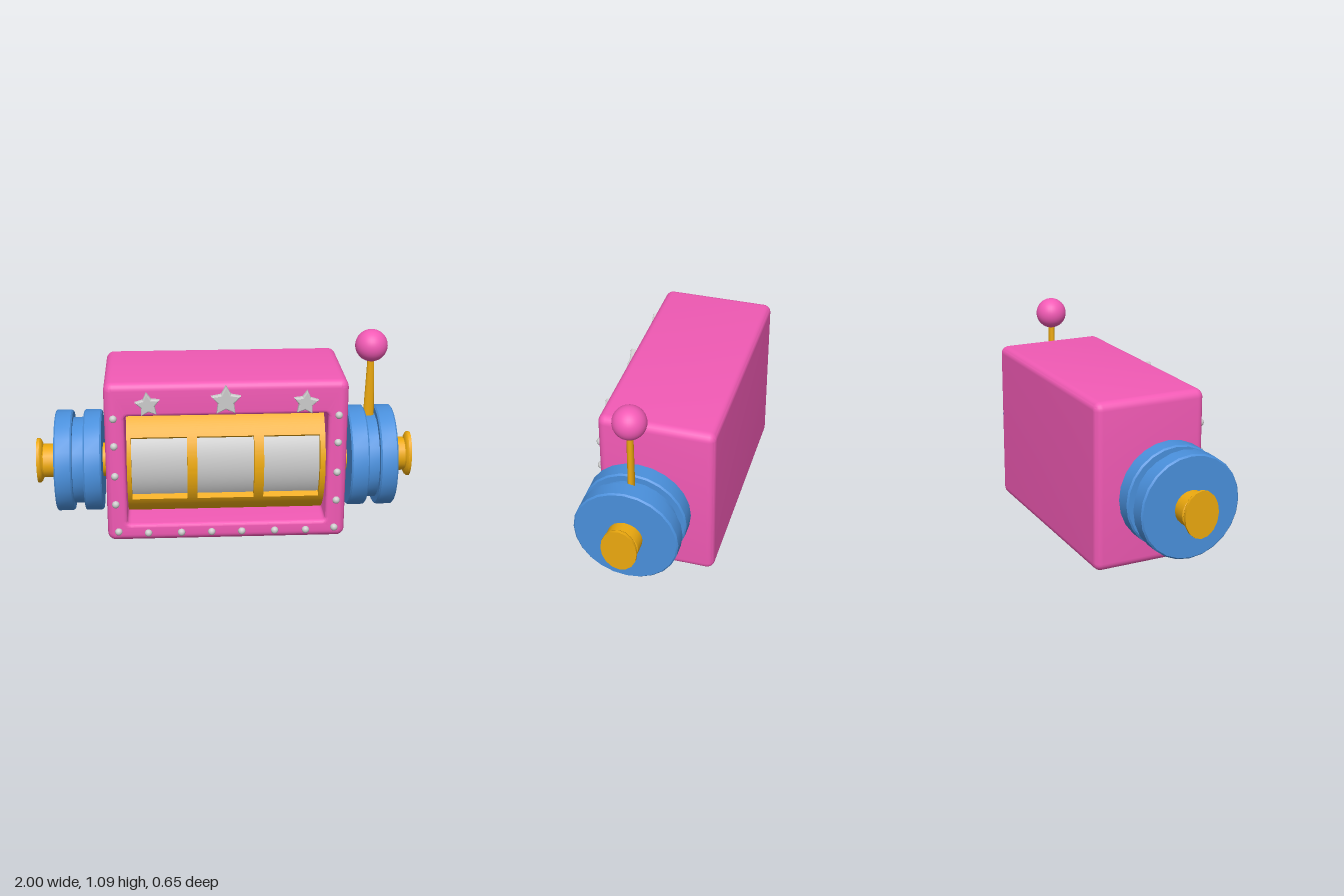
import * as THREE from 'three';
import { toCreasedNormals } from 'three/addons/utils/BufferGeometryUtils.js';

const mat = (color) => new THREE.MeshStandardMaterial({ color });
const pink = mat(0xf25ab5), blue = mat(0x4a90dc), gold = mat(0xeca90f), grey = mat(0xcccccc);

const AXLE_Y = 0.385, AXLE_Z = 0.055;   // side wheels
const DRUM_Y = 0.39, DRUM_Z = -0.08;    // reel drum

function add(parent, name, geometry, material, x = 0, y = 0, z = 0) {
  const mesh = new THREE.Mesh(geometry, material);
  mesh.name = name;
  mesh.position.set(x, y, z);
  parent.add(mesh);
  return mesh;
}

// Rounded-rectangle outline, counter-clockwise seen from the front
function ring(hw, hh, r, cy, z) {
  const pts = [], n = 6;
  const signs = [[1, 1], [-1, 1], [-1, -1], [1, -1]];
  signs.forEach(([sx, sy], q) => {
    for (let i = 0; i <= n; i++) {
      const a = (q + i / n) * Math.PI / 2;
      pts.push([sx * (hw - r) + r * Math.cos(a), cy + sy * (hh - r) + r * Math.sin(a), z]);
    }
  });
  return pts;
}

function loft(rings, crease) {
  const n = rings[0].length, idx = [];
  for (let i = 0; i < rings.length - 1; i++) {
    for (let j = 0; j < n; j++) {
      const a = i * n + j, b = i * n + (j + 1) % n;
      idx.push(a, b, b + n, a, b + n, a + n);
    }
  }
  const g = new THREE.BufferGeometry();
  g.setAttribute('position', new THREE.Float32BufferAttribute(rings.flat(2), 3));
  g.setIndex(idx);
  return toCreasedNormals(g, crease);
}

// Rounded case with a recessed opening in its front
function caseGeometry() {
  const W = 0.63, H = 0.44, Y = 0.44, Z0 = -0.325, Z1 = 0.275, R = 0.04, N = 6;
  const rings = [ring(0.001, 0.001, 0.0005, Y, Z0), ring(W - R - 0.004, H - R - 0.004, 0.004, Y, Z0)];
  const outer = (a, z) => { // a: 0 = flat face, PI/2 = side
    const inset = R * (1 - Math.sin(a));
    rings.push(ring(W - inset, H - inset, R - inset + 0.003, Y, z));
  };
  for (let i = 0; i <= N; i++) {
    const a = i / N * Math.PI / 2;
    outer(a, Z0 + R * (1 - Math.cos(a)));
  }
  for (let i = N; i >= 0; i--) {
    const a = i / N * Math.PI / 2;
    outer(a, Z1 - R * (1 - Math.cos(a)));
  }
  // opening lip
  const w = 0.525, h = 0.303, cy = 0.4, r = 0.02;
  rings.push(ring(w + r + 0.004, h + r + 0.004, 0.044, cy, Z1));
  for (let i = 0; i <= N; i++) {
    const a = i / N * Math.PI / 2, o = r * (1 - Math.sin(a));
    rings.push(ring(w + o, h + o, 0.02 + o, cy, Z1 - r * (1 - Math.cos(a))));
  }
  // recess walls and back
  rings.push(ring(w, h, 0.02, cy, 0.05), ring(0.001, 0.001, 0.0005, cy, 0.05));
  return loft(rings, 0.45);
}

// Curved slab around the drum axis, from angle a0 to a1 and x0 to x1
function sector(a0, a1, rIn, rOut, x0, x1) {
  const s = new THREE.Shape();
  s.absarc(0, 0, rOut, a0, a1, false);
  s.absarc(0, 0, rIn, a1, a0, true);
  const g = new THREE.ExtrudeGeometry(s, { depth: x1 - x0, bevelEnabled: false, curveSegments: 20 });
  g.rotateY(-Math.PI / 2).translate(x1, 0, 0);
  return toCreasedNormals(g, 0.5);
}

// Turned part along x; profile is [radius, x]
function turned(profile, sides) {
  const g = new THREE.LatheGeometry(profile.map(([r, x]) => new THREE.Vector2(r, x)), sides);
  g.rotateZ(-Math.PI / 2);
  return toCreasedNormals(g, 0.6);
}

function starGeometry(r) {
  const s = new THREE.Shape();
  for (let i = 0; i < 10; i++) {
    const a = Math.PI / 2 + i * Math.PI / 5, d = (i % 2 ? 0.5 : 1) * (r - 0.008);
    s[i ? 'lineTo' : 'moveTo'](d * Math.cos(a), d * Math.sin(a));
  }
  s.closePath();
  return new THREE.ExtrudeGeometry(s, { depth: 0.02, bevelThickness: 0.01, bevelSize: 0.008, bevelSegments: 3 });
}

export function createModel() {
  const model = new THREE.Group();
  model.name = 'reelMachine';
  add(model, 'case', caseGeometry(), pink);

  // Drum frame with three windows, and the reels behind them
  const drum = new THREE.Group();
  drum.name = 'drum';
  drum.position.set(0, DRUM_Y, DRUM_Z);
  model.add(drum);
  const R = 0.34, open = 0.54, end = 0.967;
  add(drum, 'frameTop', sector(open, end, 0.29, R, -0.52, 0.52), gold);
  add(drum, 'frameBottom', sector(-end, -open, 0.29, R, -0.52, 0.52), gold);
  for (const [x0, x1] of [[-0.52, -0.497], [-0.205, -0.153], [0.146, 0.197], [0.492, 0.52]]) {
    add(drum, 'frameRib', sector(-open, open, 0.29, R, x0, x1), gold);
  }
  for (const x of [-0.351, -0.003, 0.345]) {
    add(drum, 'reel', sector(-0.8, 0.8, 0.2, 0.306, x - 0.155, x + 0.155), grey);
  }

  // Grooved wheels with shaft and oval end cap
  const wheelGeo = turned([[0, 0.65], [0.262, 0.65], [0.27, 0.658], [0.27, 0.737], [0.262, 0.745], [0.23, 0.745],
    [0.23, 0.803], [0.262, 0.803], [0.27, 0.811], [0.27, 0.887], [0.262, 0.895], [0, 0.895]], 24);
  const shaftGeo = turned([[0, 0.6], [0.09, 0.6], [0.09, 0.965], [0.08, 0.975], [0, 0.975]], 20);
  const capGeo = turned([[0, 0.965], [0.095, 0.968], [0.118, 0.978], [0.123, 0.985], [0.123, 1], [0, 1]], 16);
  capGeo.scale(1, 1, 0.75);
  for (const side of [1, -1]) {
    const g = new THREE.Group();
    g.name = side > 0 ? 'leftWheel' : 'rightWheel';
    g.position.set(0, AXLE_Y, AXLE_Z);
    if (side < 0) g.rotation.y = Math.PI;
    add(g, 'wheel', wheelGeo, blue);
    add(g, 'shaft', shaftGeo, gold);
    add(g, 'endCap', capGeo, gold);
    model.add(g);
  }

  // Lever, wider at its foot, with ball knob
  const rod = new THREE.CylinderGeometry(0.017, 0.03, 0.36, 16);
  const p = rod.attributes.position;
  for (let i = 0; i < p.count; i++) if (p.getY(i) < 0) p.setZ(i, p.getZ(i) * 0.55);
  rod.computeVertexNormals();
  add(model, 'leverRod', rod, gold, 0.77, 0.77, AXLE_Z);
  add(model, 'leverKnob', new THREE.SphereGeometry(0.085, 32, 20), pink, 0.77, 1, AXLE_Z);

  // Stars above the window
  for (const [x, y, r, turn] of [[-0.405, 0.772, 0.064, 0.1], [-0.005, 0.787, 0.078, 0], [0.405, 0.77, 0.064, -0.1]]) {
    add(model, 'star', starGeometry(r), grey, x, y, 0.27).rotation.z = turn;
  }

  // Rivets down both sides and along the bottom
  const rivet = new THREE.SphereGeometry(0.02, 14, 10);
  const spots = [-0.572, -0.415, -0.24, -0.08, 0.08, 0.255, 0.42, 0.572]
    .map((x) => [x, Math.abs(x) > 0.5 ? 0.058 : 0.048]);
  for (const y of [0.694, 0.543, 0.376, 0.216]) spots.push([-0.583, y], [0.579, y]);
  for (const [x, y] of spots) add(model, 'rivet', rivet, grey, x, y, 0.276);

  return model;
}
